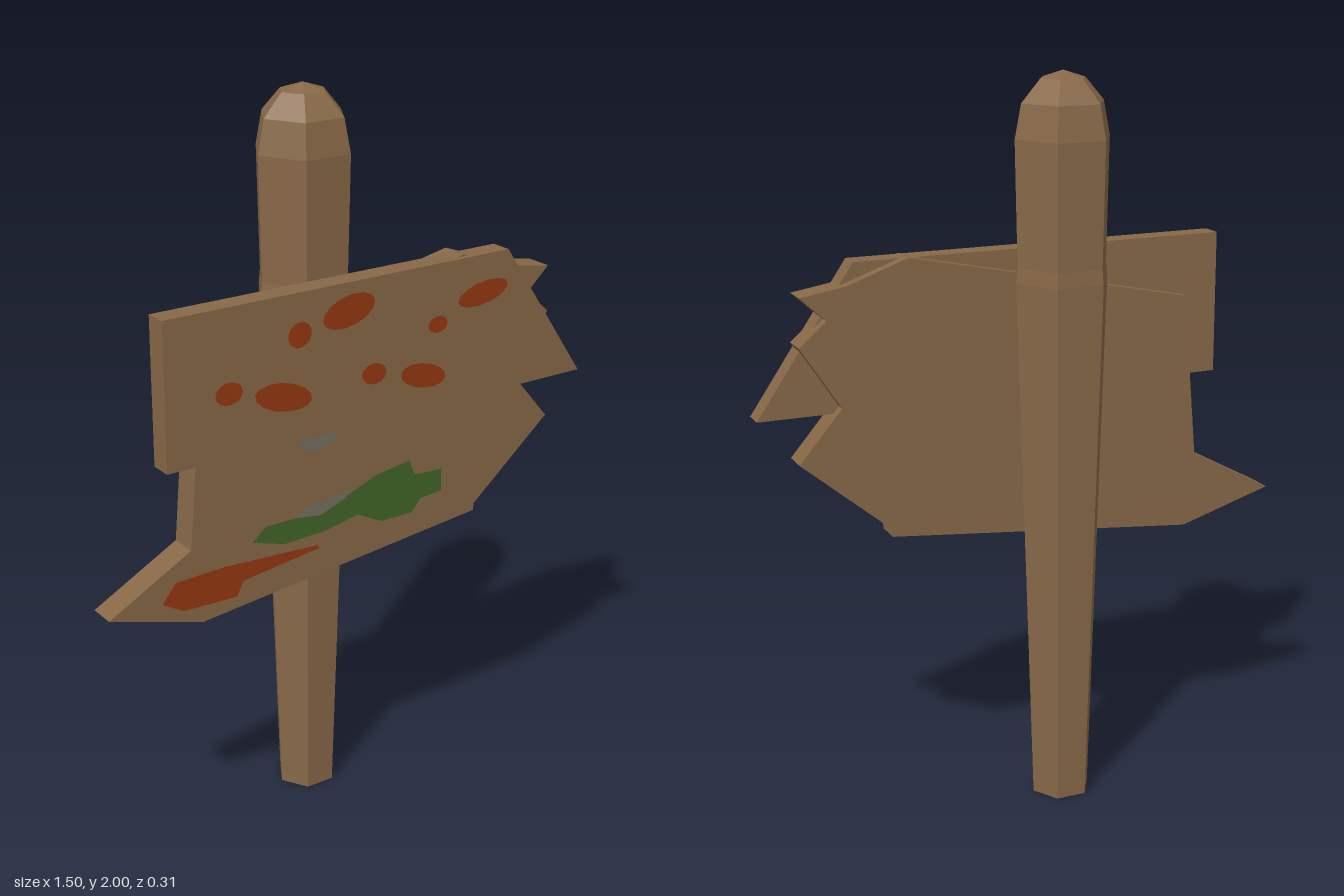
import * as THREE from 'three';

const mat = (name, color, extra = {}) => {
  const m = new THREE.MeshStandardMaterial({ color, ...extra });
  m.name = name;
  return m;
};

export function createModel() {
  const model = new THREE.Group();
  const wood = mat('wood brown', 0x876847, { flatShading: true });
  const red = mat('rust red paint', 0x943910);
  const green = mat('moss green paint', 0x406426);
  const grey = mat('grey paint', 0x757063);

  const add = (name, geometry, material, x = 0, y = 0, z = 0) => {
    const mesh = new THREE.Mesh(geometry, material);
    mesh.name = name;
    mesh.position.set(x, y, z);
    model.add(mesh);
    return mesh;
  };
  const outline = (pts) => new THREE.Shape(pts.map(([x, y]) => new THREE.Vector2(x, y)));

  // Six-sided post, widening upward to a rounded cap
  const profile = [[0, 0], [0.083, 0], [0.131, 1.46], [0.127, 1.5], [0.134, 1.83],
    [0.116, 1.92], [0.063, 1.98], [0, 2]].map(([r, y]) => new THREE.Vector2(r, y));
  add('post', new THREE.LatheGeometry(profile, 6, Math.PI / 2), wood, -0.05, 0, -0.037);

  // Flat planks cut from an outline
  const plank = (name, pts, back, front) => add(name,
    new THREE.ExtrudeGeometry(outline(pts), { depth: front - back, bevelEnabled: false }),
    wood, 0, 0, back);
  plank('rearPlank', [[-0.75, 0.77], [-0.48, 0.69], [0.4, 0.78], [0.4, 0.8], [0.65, 1.01],
    [0.53, 1.15], [0.64, 1.32], [0.565, 1.385], [0.635, 1.45], [0.51, 1.47], [0.34, 1.53],
    [0.29, 1.52], [-0.47, 1.36], [-0.51, 0.9]], 0.06, 0.137);
  plank('frontPlank', [[-0.58, 1.13], [0.75, 1.13], [0.48, 1.525], [-0.58, 1.525]], 0.09, 0.152);

  // Oval paint spots on the front plank: x, y, half width, half height, tilt
  [[-0.19, 1.415, 0.036, 0.034, 0.3], [-0.04, 1.45, 0.082, 0.042, 0.2],
    [0.395, 1.42, 0.085, 0.032, 0.15], [-0.4, 1.303, 0.04, 0.03, 0],
    [-0.24, 1.26, 0.088, 0.038, -0.25], [0.04, 1.265, 0.039, 0.029, -0.1],
    [0.245, 1.36, 0.032, 0.023, 0], [0.2, 1.227, 0.076, 0.034, -0.25],
  ].forEach(([x, y, rx, ry, tilt]) => {
    const spot = add('redSpot', new THREE.CircleGeometry(1, 14), red, x, y, 0.156);
    spot.scale.set(rx, ry, 1);
    spot.rotation.z = tilt;
  });

  // Paint smears on the rear plank
  const smear = (name, pts, material, z) =>
    add(name, new THREE.ShapeGeometry(outline(pts)), material, 0, 0, z);
  smear('redSmear', [[-0.6, 0.775], [-0.54, 0.74], [-0.38, 0.735], [-0.36, 0.775], [-0.12, 0.805],
    [-0.13, 0.815], [-0.42, 0.83], [-0.56, 0.825]], red, 0.141);
  smear('greenSmear', [[-0.33, 0.875], [-0.23, 0.845], [-0.1, 0.85], [0.0, 0.87], [0.08, 0.83],
    [0.18, 0.83], [0.21, 0.865], [0.28, 0.87], [0.28, 0.935], [0.19, 0.94], [0.17, 0.985],
    [0.06, 0.97], [-0.03, 0.935], [-0.12, 0.9], [-0.2, 0.91], [-0.29, 0.91]], green, 0.141);
  smear('greySmear', [[-0.19, 0.91], [-0.12, 0.9], [-0.04, 0.93], [-0.02, 0.95], [-0.1, 0.94],
    [-0.18, 0.935]], grey, 0.143);
  smear('greyPatch', [[-0.19, 1.13], [-0.17, 1.09], [-0.12, 1.085], [-0.07, 1.105],
    [-0.06, 1.13]], grey, 0.141);

  return model;
}
